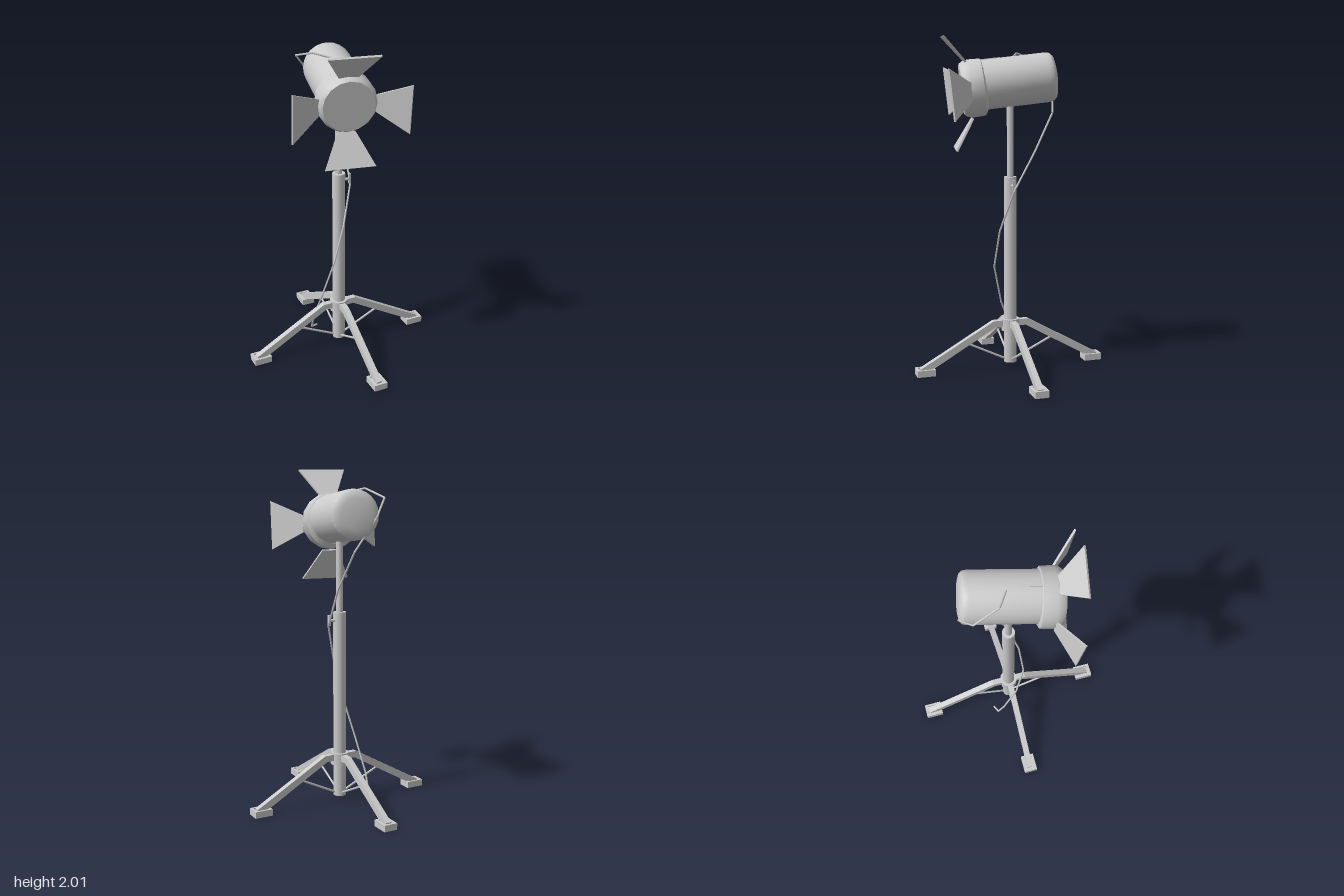
import * as THREE from 'three';
import { toCreasedNormals } from 'three/addons/utils/BufferGeometryUtils.js';

const grey = new THREE.MeshStandardMaterial({ color: 0xcccccc, side: THREE.DoubleSide });

function add(parent, name, geometry, x = 0, y = 0, z = 0) {
  const mesh = new THREE.Mesh(geometry, grey);
  mesh.name = name;
  mesh.position.set(x, y, z);
  parent.add(mesh);
  return mesh;
}

// Straight round bar between two points
function rod(parent, name, a, b, radius, sides = 6) {
  const from = new THREE.Vector3(...a), to = new THREE.Vector3(...b);
  const dir = to.clone().sub(from);
  const mesh = add(parent, name, new THREE.CylinderGeometry(radius, radius, dir.length(), sides));
  mesh.position.copy(from).add(to).multiplyScalar(0.5);
  mesh.quaternion.setFromUnitVectors(new THREE.Vector3(0, 1, 0), dir.normalize());
  return mesh;
}

// Turned part whose axis runs along z; profile is [radius, z]
function turned(profile, sides) {
  const points = profile.map(([r, s]) => new THREE.Vector2(r, s));
  return toCreasedNormals(new THREE.LatheGeometry(points, sides).rotateX(Math.PI / 2), 0.6);
}

function polygon(points) {
  return new THREE.Shape(points.map(([x, y]) => new THREE.Vector2(x, y)));
}

function createLeg() {
  const leg = new THREE.Group();
  leg.name = 'leg';
  // Bent leg beam
  const beam = polygon([[0.03, 0.262], [0.095, 0.262], [0.5, 0.03], [0.565, 0.03], [0.565, 0.042], [0.11, 0.3], [0.03, 0.3]]);
  add(leg, 'legBeam', new THREE.ExtrudeGeometry(beam, { depth: 0.036, bevelEnabled: false }), 0, 0, -0.018);
  // Hollow foot with a thin floor
  const rim = polygon([[0.48, -0.042], [0.59, -0.042], [0.59, 0.042], [0.48, 0.042]]);
  rim.holes.push(polygon([[0.495, -0.028], [0.495, 0.028], [0.575, 0.028], [0.575, -0.028]]));
  const foot = new THREE.ExtrudeGeometry(rim, { depth: 0.04, bevelEnabled: false }).rotateX(-Math.PI / 2);
  add(leg, 'footRim', foot);
  add(leg, 'footFloor', new THREE.BoxGeometry(0.09, 0.006, 0.066), 0.535, 0.026, 0);
  // Brace down to the pole
  rod(leg, 'legBrace', [0.265, 0.168, 0], [0.025, 0.052, 0], 0.007);
  return leg;
}

function createLamp() {
  const lamp = new THREE.Group();
  lamp.name = 'lampHead';
  add(lamp, 'lampBody', turned([
    [0, -0.278], [0.09, -0.275], [0.125, -0.267], [0.142, -0.25], [0.147, -0.225], [0.147, 0.2],
  ], 24));
  add(lamp, 'frontCollar', turned([
    [0.14, 0.145], [0.168, 0.162], [0.171, 0.235], [0.165, 0.267], [0.15, 0.288], [0, 0.288],
  ], 16), 0, -0.013, 0);
  add(lamp, 'topSeam', new THREE.BoxGeometry(0.018, 0.008, 0.2), 0, 0.146, 0.14);

  // Four flared flaps around the front
  const flapShape = polygon([[-0.05, 0], [0.05, 0], [0.147, 0.21], [-0.147, 0.21]]);
  const flapGeometry = new THREE.ExtrudeGeometry(flapShape, { depth: 0.012, bevelEnabled: false });
  flapGeometry.translate(0, 0, -0.006).rotateX(0.62).translate(0, 0.162, 0.242);
  for (let i = 0; i < 4; i++) {
    add(lamp, 'flap', flapGeometry, 0, -0.025, 0).rotation.z = i * Math.PI / 2;
  }
  lamp.position.set(-0.012, 1.743, 0);
  lamp.rotation.set(0.113, -0.2, 0, 'YXZ');
  return lamp;
}

export function createModel() {
  const model = new THREE.Group();
  model.name = 'studioLamp';

  // Telescopic pole and hub
  rod(model, 'lowerPole', [0, 0.035, 0], [0, 1.18, 0], 0.039, 12);
  rod(model, 'upperPole', [0, 1.17, 0], [0, 1.66, 0], 0.021, 12);
  rod(model, 'hub', [0, 0.235, 0], [0, 0.308, 0], 0.056, 12);

  // Height lock
  rod(model, 'knobShaft', [0.03, 1.13, 0], [0.066, 1.13, 0], 0.009, 8);
  add(model, 'knobWing', new THREE.BoxGeometry(0.014, 0.064, 0.014), 0.071, 1.132, 0);

  for (let i = 0; i < 4; i++) {
    const leg = createLeg();
    leg.rotation.y = i * Math.PI / 2;
    model.add(leg);
  }

  model.add(createLamp());

  // Angular power cable
  const path = [
    [-0.03, 1.885, -0.02], [-0.125, 1.91, -0.08], [-0.165, 1.86, -0.23], [-0.075, 1.75, -0.29],
    [0.045, 1.56, -0.25], [0.083, 1.33, -0.125], [0.077, 1.1, 0], [0, 0.85, 0.066],
    [-0.07, 0.62, 0.08], [-0.122, 0.38, 0.02], [-0.145, 0.17, -0.07], [-0.14, 0.075, -0.11], [-0.095, 0.068, -0.13],
  ];
  const cable = new THREE.Group();
  cable.name = 'cable';
  for (let i = 1; i < path.length; i++) rod(cable, 'cableSegment', path[i - 1], path[i], 0.006);
  model.add(cable);

  return model;
}
